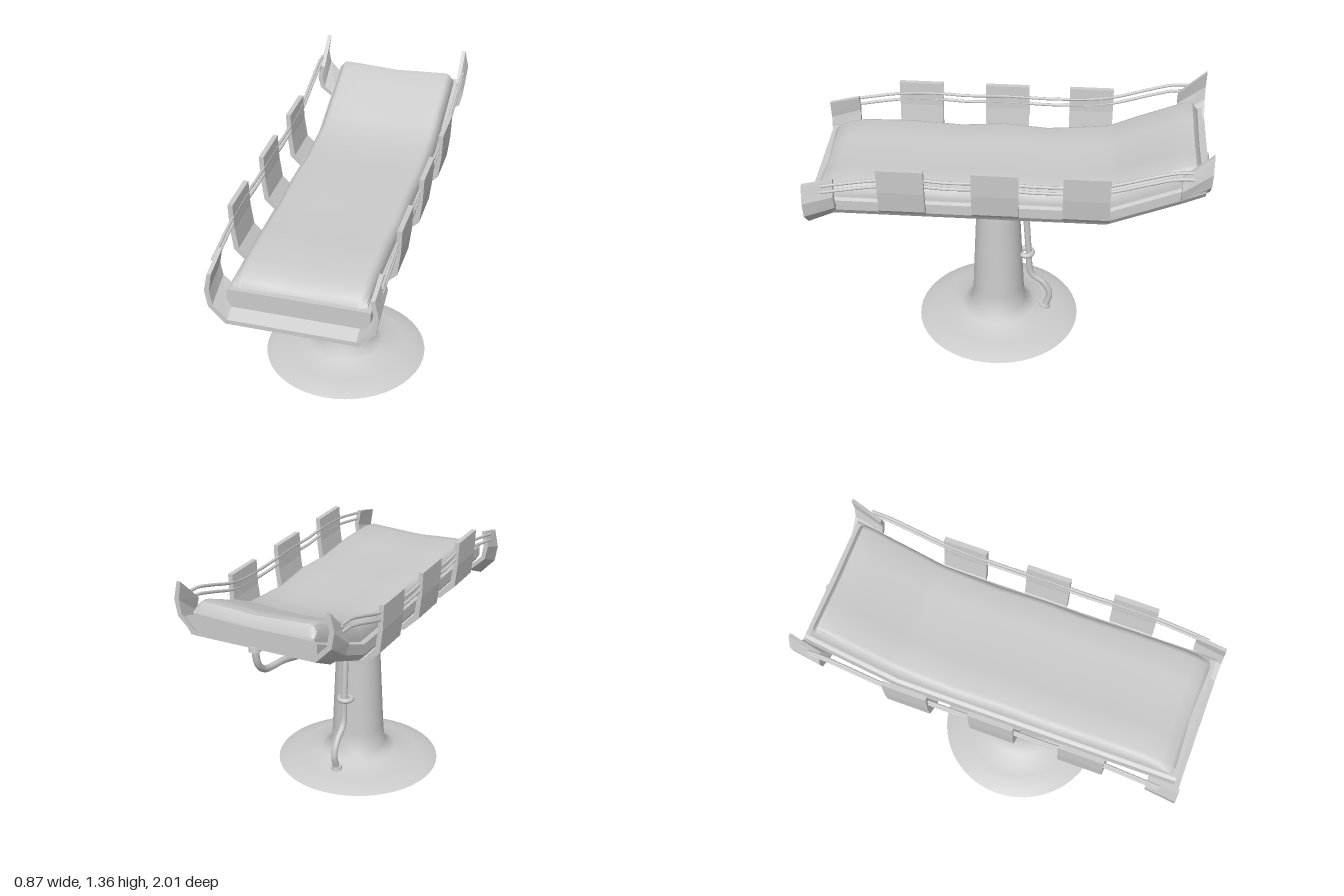
import * as THREE from 'three';
import { toCreasedNormals, mergeVertices } from 'three/addons/utils/BufferGeometryUtils.js';

const grey = new THREE.MeshStandardMaterial({ color: 0xcccccc, side: THREE.DoubleSide });

function add(parent, name, geometry) {
  const mesh = new THREE.Mesh(geometry, grey);
  mesh.name = name;
  parent.add(mesh);
  return mesh;
}

// Linear interpolation in a list of [z, value], z falling
function at(table, z) {
  let i = 0;
  while (i < table.length - 2 && z < table[i + 1][0]) i++;
  const [z0, a] = table[i], [z1, b] = table[i + 1];
  return a + (b - a) * (z - z0) / (z1 - z0);
}

// Skin over closed cross-sections (equal point counts), with capped ends
function loft(sections, crease) {
  const n = sections[0].length, pos = [], index = [];
  sections.forEach(s => s.forEach(p => pos.push(...p)));
  for (let i = 0; i < sections.length - 1; i++) {
    for (let j = 0; j < n; j++) {
      const a = i * n + j, b = i * n + (j + 1) % n;
      index.push(a, a + n, b, b, a + n, b + n);
    }
  }
  const last = (sections.length - 1) * n;
  for (let j = 1; j < n - 1; j++) {
    index.push(0, j, j + 1, last, last + j + 1, last + j);
  }
  const g = new THREE.BufferGeometry();
  g.setAttribute('position', new THREE.Float32BufferAttribute(pos, 3));
  g.setIndex(index);
  return toCreasedNormals(g, crease);
}

// Extrudes an outline from z0 back to z1
function slab(points, zFront, zBack) {
  const shape = new THREE.Shape(points.map(p => new THREE.Vector2(...p)));
  const g = new THREE.ExtrudeGeometry(shape, { depth: zFront - zBack, bevelEnabled: false });
  return g.translate(0, 0, zBack);
}

function tube(points, radius, sides, steps) {
  const curve = new THREE.CatmullRomCurve3(points.map(p => new THREE.Vector3(...p)), false, 'centripetal');
  return new THREE.TubeGeometry(curve, steps, radius, sides);
}

const bedX = 0.025;
// Underside and mattress height along the bed
const floorLine = [[0.97, 0.892], [-0.5, 0.892], [-0.86, 1.04], [-0.97, 1.09]];
const topLine = [[0.97, 0.99], [0.94, 1.02], [0.88, 1.045], [0.8, 1.06], [0.55, 1.065], [0.28, 1.05], [0.05, 1.068],
  [-0.18, 1.05], [-0.35, 1.065], [-0.5, 1.08], [-0.56, 1.105], [-0.65, 1.145], [-0.8, 1.205], [-0.88, 1.238],
  [-0.93, 1.243], [-0.97, 1.2]];

function createBed(group) {
  const bed = new THREE.Group();
  bed.name = 'bed';
  bed.position.x = bedX;
  group.add(bed);

  // Tray with chamfered underside and a raised rim
  add(bed, 'tray', loft(floorLine.map(([z, y]) => [
    [-0.32, y], [0.32, y], [0.342, y + 0.035], [0.342, y + 0.09], [0.325, y + 0.098],
    [-0.325, y + 0.098], [-0.342, y + 0.09], [-0.342, y + 0.035],
  ].map(([x, v]) => [x, v, z])), 0.4));

  // Mattress, slightly dished, with rounded shoulders
  add(bed, 'mattress', loft(topLine.map(([z, top]) => {
    const base = at(floorLine, z) + 0.06;
    const end = z > 0.96 ? 0.95 : z < -0.96 ? 0.945 : 0.955;
    const ring = [[-0.32, base], [0.32, base]];
    const side = [[0.32, Math.min(base + 0.05, top - 0.01)], [0.314, base + (top - base) * 0.75], [0.298, top - 0.006],
      [0.28, top], [0.14, top - 0.007]];
    side.forEach(p => ring.push(p));
    ring.push([0, top - 0.015]);
    side.slice().reverse().forEach(([x, y]) => ring.push([-x, y]));
    return ring.map(([x, y]) => [x, y, z * end / 0.955 * 0.985]);
  }), 0.7));
}

function createBrackets(group) {
  const zs = [0.505, 0.045, -0.4];
  const outer = [[0.2, 0.882], [0.325, 0.882], [0.405, 0.96], [0.42, 1.08], [0.425, 1.21]];
  const inner = [[0.4, 1.21], [0.395, 1.08], [0.38, 0.97], [0.315, 0.905], [0.2, 0.905]];
  for (const side of [1, -1]) {
    for (const z of zs) {
      const pts = [...outer, ...inner].map(([x, y]) => [x * side, y]);
      add(group, 'sideBracket', slab(pts, z + 0.115, z - 0.115));
    }
  }

  // Full-width end brackets, sheared to flare away from the bed
  const half = [[0.32, 0], [0.4, 0.08], [0.415, 0.16], [0.395, 0.25]];
  const halfIn = [[0.375, 0.25], [0.39, 0.16], [0.378, 0.09], [0.31, 0.022]];
  const flip = list => list.slice().reverse().map(([x, y]) => [-x, y]);
  const outline = [...half, ...halfIn, ...flip(halfIn), ...flip(half)];
  const ends = [
    ['footBracket', [1, 0.81, 1.08], [0.84, 0.885, 1.12]],
    ['headBracket', [-0.85, 1.03, 1.225], [-0.99, 1.1, 1.355]],
  ];
  for (const [name, [zf, lowF, highF], [zb, lowB, highB]] of ends) {
    const g = slab(outline, zf, zb), p = g.attributes.position;
    for (let i = 0; i < p.count; i++) {
      const front = p.getZ(i) > (zf + zb) / 2, t = p.getY(i) / 0.25;
      p.setY(i, front ? lowF + (highF - lowF) * t : lowB + (highB - lowB) * t);
    }
    g.computeVertexNormals();
    add(group, name, g);
  }
}

function createRails(group) {
  for (const side of [1, -1]) {
    for (const drop of [0, 0.036]) {
      const path = [[0.9, 1.09], [0.8, 1.11], [0.6, 1.143], [0.4, 1.15], [0.27, 1.143], [0.05, 1.15],
        [-0.18, 1.143], [-0.4, 1.152], [-0.52, 1.17], [-0.7, 1.225], [-0.82, 1.258], [-0.9, 1.262]];
      add(group, 'guardRail', tube(path.map(([z, y]) => [side * 0.403, y - drop, z]), 0.008, 8, 48));
    }
  }
}

function createPedestal(group) {
  // Flared foot and tapering column
  const profile = [[0.435, 0], [0.38, 0.024], [0.32, 0.034], [0.265, 0.043], [0.2, 0.066], [0.146, 0.092],
    [0.138, 0.2], [0.122, 0.55], [0.106, 0.9]];
  const lathe = new THREE.LatheGeometry(profile.map(p => new THREE.Vector2(...p)), 48);
  add(group, 'pedestal', lathe).position.z = 0.065;
}

function createHose(group) {
  // Hose from the foot, up the column and along under the bed to the head
  const path = [[-0.19, 0.04], [-0.215, 0.14], [-0.18, 0.215], [-0.115, 0.275], [-0.1, 0.42], [-0.088, 0.6],
    [-0.08, 0.74], [-0.105, 0.81], [-0.17, 0.838], [-0.36, 0.85], [-0.52, 0.873], [-0.72, 0.925], [-0.9, 0.958],
    [-0.955, 1.01], [-0.975, 1.1]];
  add(group, 'hose', tube(path.map(([z, y]) => [0, y, z]), 0.017, 10, 90));

  // Collars at both hose ends
  const collar = new THREE.CylinderGeometry(0.027, 0.03, 0.025, 14);
  add(group, 'hoseCollar', collar).position.set(0, 0.05, -0.19);
  add(group, 'hoseCollar', collar).position.set(0, 1.095, -0.975);

  // Clamp loops holding the hose
  const loop = new THREE.TorusGeometry(0.034, 0.014, 8, 20);
  for (const [y, z, flat] of [[0.42, -0.085, true], [0.71, -0.065, true], [0.855, -0.36, false]]) {
    const clamp = add(group, 'hoseClamp', loop);
    clamp.position.set(0, y, z);
    if (flat) clamp.rotation.x = Math.PI / 2;
  }
}

export function createModel() {
  const model = new THREE.Group();
  model.name = 'examinationCouch';
  createPedestal(model);
  createBed(model);
  createBrackets(model);
  createRails(model);
  createHose(model);
  return model;
}
